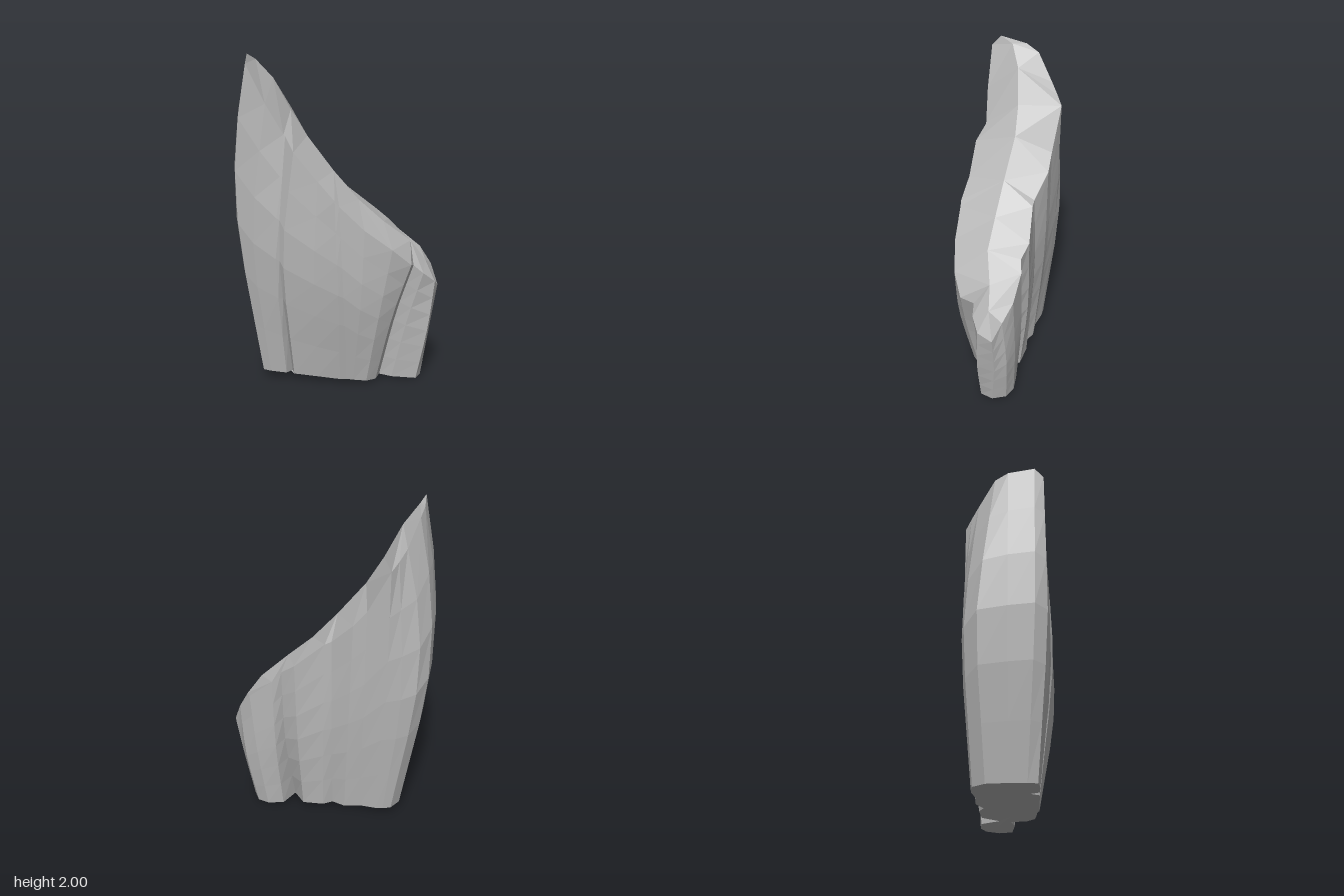
import * as THREE from 'three';

// Vertical ridges and grooves, counterclockwise from the front left:
// foot x,z, belly x,z, rim x,y,z
const frontColumns = [
  [-.45, .155, -.575, .22, -.515, 1.94, .215],
  [-.40, .165, -.48, .235, -.40, 1.71, .21],
  [-.30, .165, -.34, .24, -.295, 1.53, .19],
  [-.275, .11, -.32, .232, -.285, 1.52, .19],
  [-.25, .165, -.29, .25, -.225, 1.43, .235],
  [-.10, .165, -.10, .255, -.08, 1.26, .235],
  [.04, .165, .045, .262, .025, 1.15, .255],
  [.08, .15, .075, .248, .05, 1.12, .252],
  [.12, .15, .18, .24, .20, .98, .24],
  [.20, .14, .29, .20, .36, .86, .195],
  [.25, .09, .36, .13, .465, .76, .125],
  [.26, .00, .37, .03, .47, .74, .04],
  [.34, .02, .44, .03, .53, .69, .03],
  [.49, .00, .56, .00, .597, .63, -.02],
];
const backColumns = [
  [.51, -.08, .565, -.11, .607, .59, -.11],
  [.47, -.16, .53, -.18, .56, .71, -.16],
  [.40, -.19, .45, -.21, .485, .81, -.205],
  [.30, -.18, .33, -.215, .34, .92, -.213],
  [.24, -.07, .28, -.16, .285, .98, -.195],
  [.17, -.17, .19, -.22, .20, 1.04, -.222],
  [.04, -.18, .03, -.21, .02, 1.18, -.193],
  [-.02, -.15, -.02, -.205, -.02, 1.20, -.193],
  [-.10, -.19, -.13, -.24, -.15, 1.33, -.243],
  [-.20, -.18, -.22, -.24, -.23, 1.42, -.242],
  [-.30, -.20, -.35, -.255, -.36, 1.67, -.262],
  [-.35, -.20, -.44, -.262, -.40, 1.72, -.225],
  [-.40, -.19, -.53, -.245, -.44, 1.78, -.18],
  [-.45, -.12, -.592, -.17, -.50, 1.93, -.08],
  [-.46, .00, -.607, .00, -.52, 1.97, .00],
  [-.46, .10, -.605, .15, -.52, 2.0, .16],
];

// Crest line of the sloping top and centre line of the underside
const crest = [
  [-.49, 1.97, .08], [-.40, 1.86, .02], [-.30, 1.67, -.01], [-.20, 1.51, -.02], [-.03, 1.30, 0],
  [.125, 1.13, .01], [.28, 1.00, .01], [.44, .875, -.05], [.53, .755, -.07],
];
const underside = [[-.36, .04, 0], [-.18, .02, .02], [0, .02, -.01], [.18, .03, 0], [.40, .02, -.09]];

const toPoints = list => list.map(p => new THREE.Vector3(...p));

function meshFrom(name, triangles, material) {
  const geometry = new THREE.BufferGeometry().setFromPoints(triangles);
  geometry.computeVertexNormals();
  const mesh = new THREE.Mesh(geometry, material);
  mesh.name = name;
  return mesh;
}

// Bends a ridge smoothly from foot to rim; bellies sit higher towards the tall end
function ridgePoints([footX, footZ, bellyX, bellyZ, ...rimPoint], steps) {
  const foot = new THREE.Vector3(footX, .03 - .05 * footX, footZ);
  const belly = new THREE.Vector3(bellyX, .65 - .55 * bellyX, bellyZ);
  const rim = new THREE.Vector3(...rimPoint);
  const points = [foot, belly, rim];
  // The tall end also bulges above the belly
  if (bellyX < -.5) {
    const shoulder = belly.clone().lerp(rim, .5);
    shoulder.x -= .04;
    points.splice(2, 0, shoulder);
  }
  return new THREE.CatmullRomCurve3(points).getSpacedPoints(steps);
}

// Joins a closed ring to an open centre line, stepping along it as x changes
function capTriangles(ring, line) {
  const nearest = p => line.reduce((best, q, k) =>
    Math.abs(q.x - p.x) < Math.abs(line[best].x - p.x) ? k : best, 0);
  const out = [];
  ring.forEach((a, i) => {
    const b = ring[(i + 1) % ring.length];
    let k = nearest(a);
    const end = nearest(b);
    out.push(a, b, line[k]);
    while (k !== end) {
      const next = k + Math.sign(end - k);
      out.push(b, line[next], line[k]);
      k = next;
    }
  });
  return out;
}

export function createModel() {
  const group = new THREE.Group();
  group.name = 'rock';
  const stone = new THREE.MeshStandardMaterial({ color: 0xb4b4b4, flatShading: true });
  stone.name = 'grey stone';

  const steps = 6;
  const ridges = [...frontColumns, ...backColumns].map(c => ridgePoints(c, steps));

  // Ribbed walls
  const walls = [];
  ridges.forEach((a, i) => {
    const b = ridges[(i + 1) % ridges.length];
    for (let j = 0; j < steps; j++) {
      walls.push(a[j], b[j], b[j + 1], a[j], b[j + 1], a[j + 1]);
    }
  });
  group.add(meshFrom('ribbedWalls', walls, stone));

  // Sloping top
  const rim = ridges.map(r => r[steps]);
  group.add(meshFrom('slopingTop', capTriangles(rim, toPoints(crest)), stone));

  // Underside, with corners reversed to face down
  const foot = ridges.map(r => r[0]);
  group.add(meshFrom('underside', capTriangles(foot, toPoints(underside)).reverse(), stone));

  return group;
}
